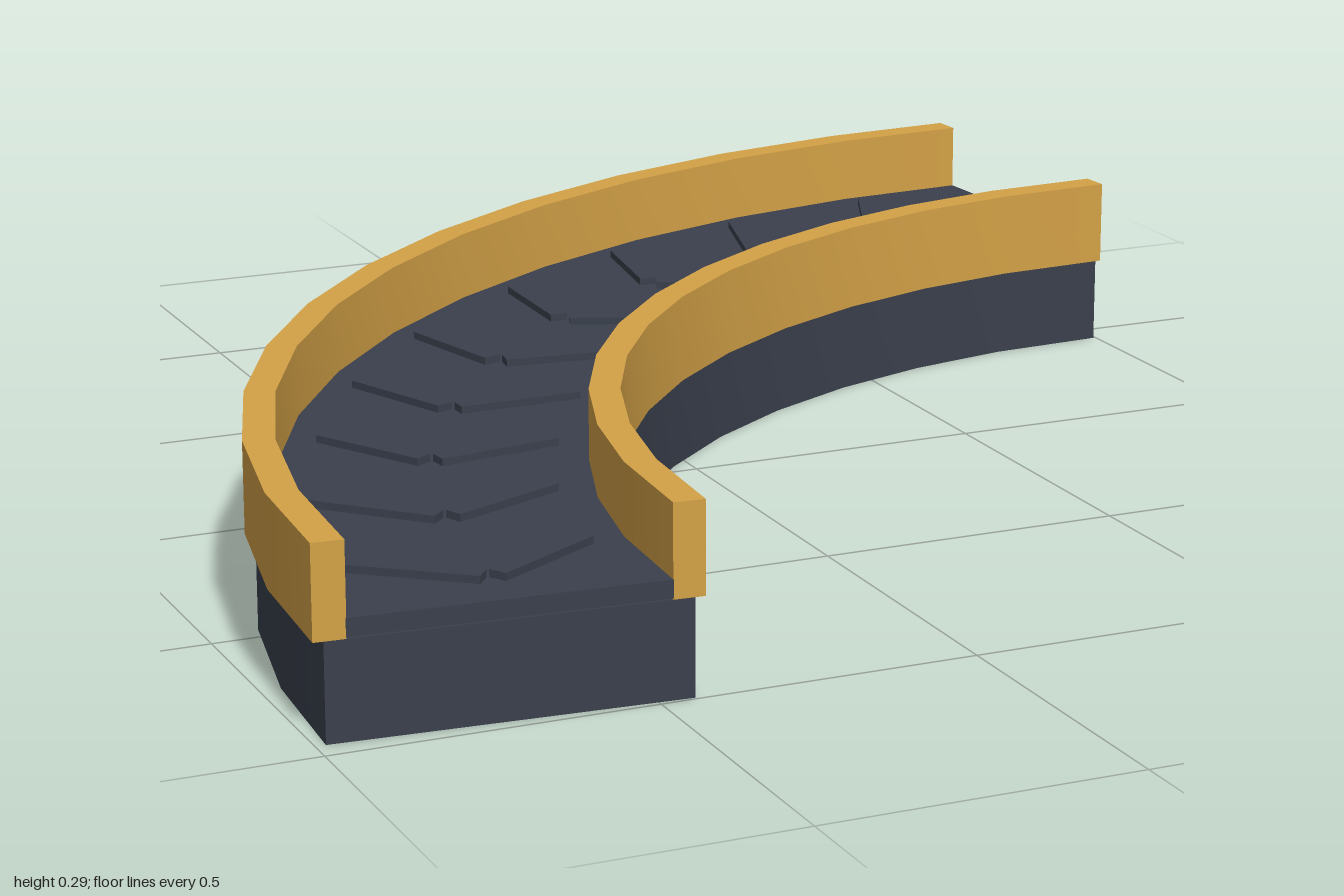
import * as THREE from 'three';
import { mergeGeometries } from 'three/addons/utils/BufferGeometryUtils.js';

const CENTER = 0.978, RADIUS = 1.693, STEPS = 12, STEP = Math.PI / 2 / STEPS;

// Sweeps a rectangle (outward offset w0..w1, height y0..y1) along the quarter turn
function sweep(w0, w1, y0, y1) {
  const corners = [[w0, y0], [w1, y0], [w1, y1], [w0, y1]];
  const point = (i, [w, y]) => {
    const a = i * STEP;
    // the end sections follow the chord of the end segments
    const f = i === 0 ? STEP / 2 : i === STEPS ? a - STEP / 2 : a;
    return [
      CENTER - RADIUS * Math.cos(a) - w * Math.cos(f), y,
      CENTER - RADIUS * Math.sin(a) - w * Math.sin(f),
    ];
  };
  const build = (positions, index) => {
    const g = new THREE.BufferGeometry();
    g.setAttribute('position', new THREE.Float32BufferAttribute(positions, 3));
    g.setIndex(index);
    g.computeVertexNormals();
    return g;
  };
  // one strip per side: smooth along the curve, sharp between sides
  const parts = corners.map((c, k) => {
    const pos = [], idx = [];
    for (let i = 0; i <= STEPS; i++) {
      pos.push(...point(i, c), ...point(i, corners[(k + 1) % 4]));
      const n = 2 * i;
      if (i < STEPS) idx.push(n, n + 1, n + 3, n, n + 3, n + 2);
    }
    return build(pos, idx);
  });
  // end caps
  parts.push(build(corners.flatMap((c) => point(0, c)), [0, 2, 1, 0, 3, 2]));
  parts.push(build(corners.flatMap((c) => point(STEPS, c)), [0, 1, 2, 0, 2, 3]));
  return mergeGeometries(parts);
}

export function createModel() {
  const group = new THREE.Group();
  const dark = new THREE.MeshStandardMaterial({ color: 0x3a404d });
  dark.name = 'dark slate';
  const gold = new THREE.MeshStandardMaterial({ color: 0xd4a247 });
  gold.name = 'golden yellow';

  const add = (name, geometry, material, parent = group) => {
    const mesh = new THREE.Mesh(geometry, material);
    mesh.name = name;
    parent.add(mesh);
    return mesh;
  };

  // Curved bed, belt surface and side rails
  add('base', sweep(-0.27, 0.27, 0, 0.15), dark);
  add('belt', sweep(-0.238, 0.238, 0.152, 0.18), dark);
  add('outerRail', sweep(0.237, 0.2855, 0.15, 0.293), gold);
  add('innerRail', sweep(-0.2855, -0.237, 0.15, 0.293), gold);

  // Raised chevrons, each turned to match the segment it sits on
  const bar = new THREE.BoxGeometry(0.205, 0.014, 0.03);
  for (let n = 0; n < 9; n++) {
    const a = THREE.MathUtils.degToRad(4.9 + 9.55 * n);
    const facing = (Math.floor(a / STEP) + 0.5) * STEP;
    const chevron = new THREE.Group();
    chevron.name = 'chevron';
    chevron.position.set(CENTER - RADIUS * Math.cos(a), 0.185, CENTER - RADIUS * Math.sin(a));
    chevron.rotation.y = -facing;
    group.add(chevron);
    for (const side of [-1, 1]) {
      const mesh = add('chevronBar', bar, dark, chevron);
      mesh.position.x = side * 0.095;
      mesh.rotation.y = side * THREE.MathUtils.degToRad(34.5);
    }
  }
  return group;
}
